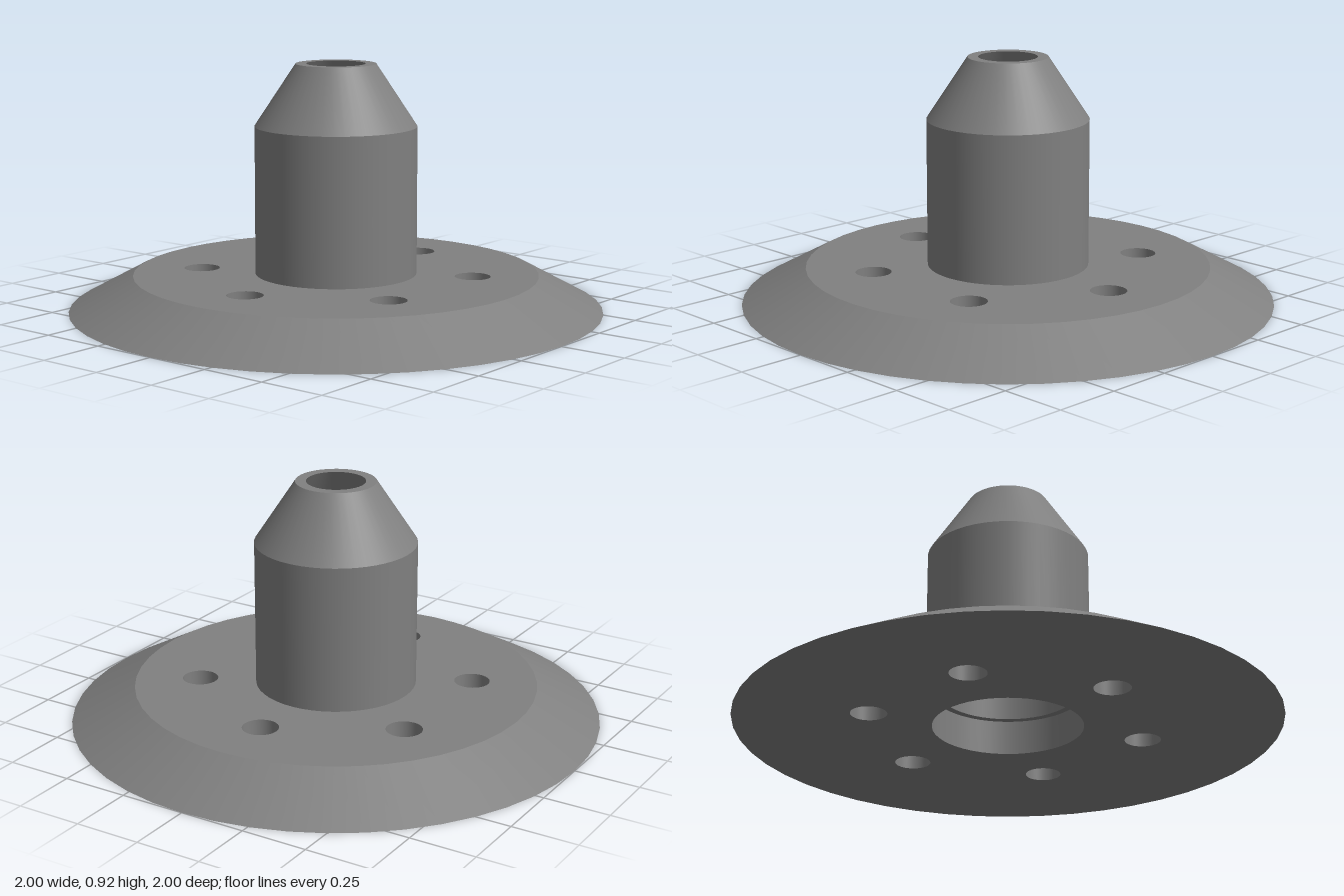
import * as THREE from 'three';
import { mergeGeometries } from 'three/addons/utils/BufferGeometryUtils.js';

const SEGMENTS = 48;
const BASE_TOP = 0.13;
const RIM_RADIUS = 1;
const PLATEAU_RADIUS = 0.76;
const RECESS_RADIUS = 0.277;
const BOLT_CIRCLE = 0.515;
const BOLT_RADIUS = 0.067;

// Revolved surface with a crisp edge at every profile corner
function revolve(profile) {
  const bands = [];
  for (let i = 0; i < profile.length - 1; i++) {
    const ends = [profile[i], profile[i + 1]].map(([r, y]) => new THREE.Vector2(r, y));
    bands.push(new THREE.LatheGeometry(ends, SEGMENTS));
  }
  return mergeGeometries(bands);
}

// Centres of the six bolt holes
const boltCentres = Array.from({ length: 6 }, (_, i) => {
  const angle = (i * Math.PI) / 3;
  return [BOLT_CIRCLE * Math.cos(angle), BOLT_CIRCLE * Math.sin(angle)];
});

// Flat disc face pierced by the recess and the bolt holes
function piercedDisc(radius) {
  const shape = new THREE.Shape();
  shape.absarc(0, 0, radius, 0, Math.PI * 2, false);
  const cut = (x, z, r) => {
    const hole = new THREE.Path();
    hole.absarc(x, z, r, 0, Math.PI * 2, true);
    shape.holes.push(hole);
  };
  cut(0, 0, RECESS_RADIUS);
  boltCentres.forEach(([x, z]) => cut(x, z, BOLT_RADIUS));
  return new THREE.ShapeGeometry(shape, SEGMENTS / 2);
}

export function createModel() {
  const model = new THREE.Group();
  const metal = new THREE.MeshStandardMaterial({ color: 0x808080 });
  metal.name = 'grey metal';

  const add = (name, geometry) => {
    const mesh = new THREE.Mesh(geometry, metal);
    mesh.name = name;
    model.add(mesh);
  };

  // Flange: top and bottom faces, sloping rim, recess wall and bolt hole walls
  add('flange', mergeGeometries([
    piercedDisc(PLATEAU_RADIUS).rotateX(-Math.PI / 2).translate(0, BASE_TOP, 0),
    piercedDisc(RIM_RADIUS).rotateX(Math.PI / 2),
    revolve([[RIM_RADIUS, 0], [PLATEAU_RADIUS, BASE_TOP]]),
    revolve([[RECESS_RADIUS, BASE_TOP], [RECESS_RADIUS, 0]]),
    ...boltCentres.map(([x, z]) =>
      revolve([[BOLT_RADIUS, BASE_TOP], [BOLT_RADIUS, 0]]).translate(x, 0, z)),
  ]));

  // Hollow hub: outer sleeve, tapered nose, mouth, inner taper, bore and ledge
  add('hub', revolve([
    [0.303, BASE_TOP], [0.303, 0.685], [0.15, 0.917], [0.11, 0.917],
    [0.25, 0.685], [0.25, BASE_TOP], [0.303, BASE_TOP],
  ]));

  return model;
}
